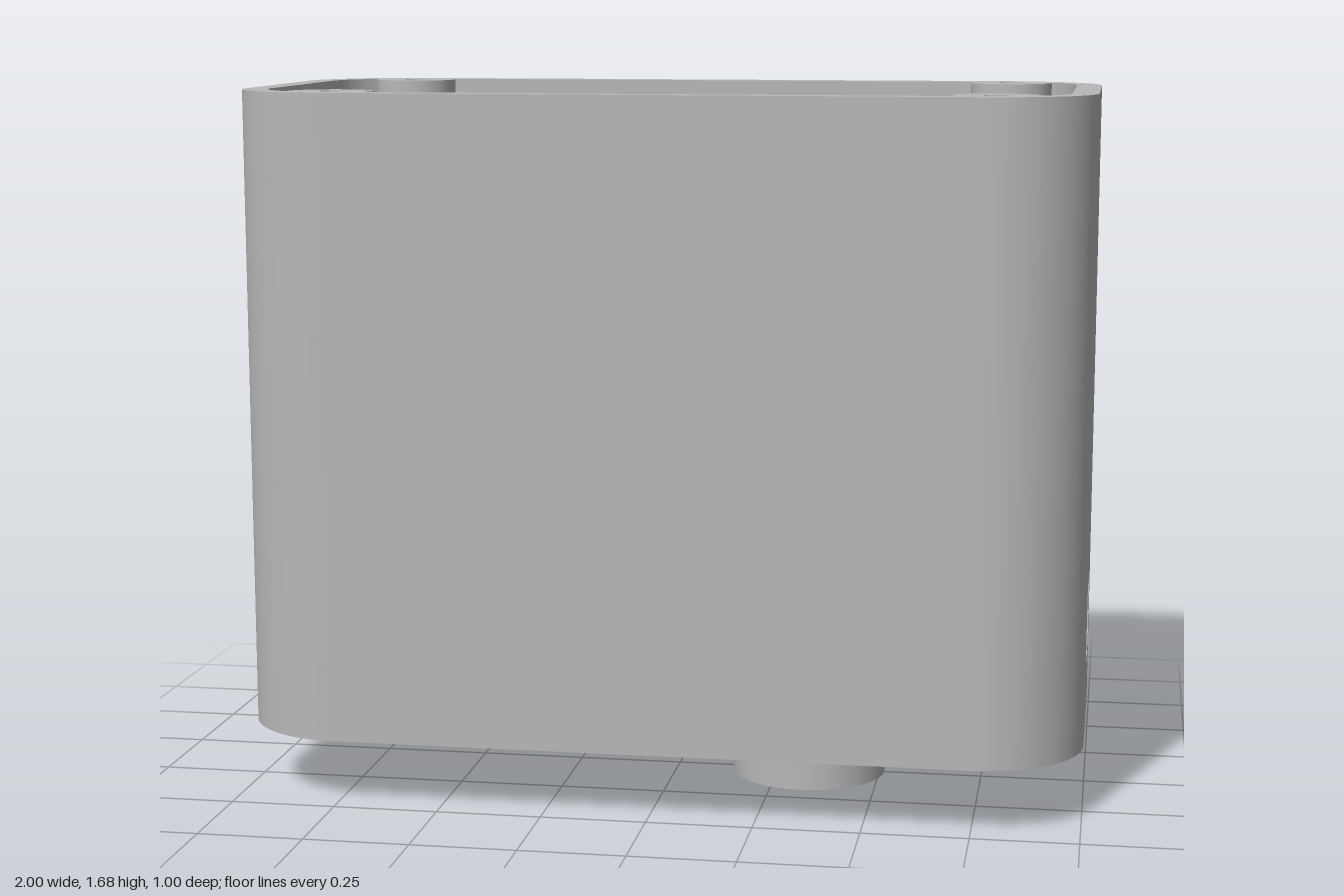
import * as THREE from 'three';
import { toCreasedNormals } from 'three/addons/utils/BufferGeometryUtils.js';

const BASE = 0.16, FLOOR = 0.22, TOP = 1.68;   // heights of underside, floor and rim
const R = 0.25, WALL = 0.06;

export function createModel() {
  const model = new THREE.Group();
  const grey = new THREE.MeshStandardMaterial({ color: 0xb8b8b8 });
  grey.name = 'grey plastic';

  function add(name, geometry) {
    const mesh = new THREE.Mesh(toCreasedNormals(geometry, 0.5), grey);
    mesh.name = name;
    model.add(mesh);
    return mesh;
  }

  // Extrude a plan shape upward between two heights
  function rise(shape, y0, y1) {
    const g = new THREE.ExtrudeGeometry(shape, { depth: y1 - y0, bevelEnabled: false, curveSegments: 20 });
    return g.rotateX(-Math.PI / 2).translate(0, y0, 0);
  }

  function roundedRect(path, w, h, r, cx = 0, cy = 0) {
    const x = w / 2 - r, y = h / 2 - r, q = Math.PI / 2;
    path.absarc(cx + x, cy + y, r, 0, q);
    path.absarc(cx - x, cy + y, r, q, 2 * q);
    path.absarc(cx - x, cy - y, r, 2 * q, 3 * q);
    path.absarc(cx + x, cy - y, r, 3 * q, 4 * q);
    path.closePath();
    return path;
  }

  function ring(outer, inner) {
    const s = new THREE.Shape().absarc(0, 0, outer, 0, Math.PI * 2);
    s.holes.push(new THREE.Path().absarc(0, 0, inner, 0, Math.PI * 2));
    return s;
  }

  // Bottom plate
  add('floor', rise(roundedRect(new THREE.Shape(), 2, 1, R), BASE, FLOOR));

  // Wall running round every side except the flat part of the left end
  const q = Math.PI / 2, cx = 1 - R, cz = 0.5 - R, ri = R - WALL;
  const wall = new THREE.Shape();
  const corners = [[cx, cz, 0], [-cx, cz, q], [-cx, -cz, 2 * q], [cx, -cz, 3 * q]];
  corners.forEach(([x, z, a]) => wall.absarc(x, z, R, a, a + q));
  corners.reverse().forEach(([x, z, a]) => wall.absarc(x, z, ri, a + q, a, true));
  wall.closePath();
  add('wall', rise(wall, FLOOR, TOP));

  // Flat end panel with the rounded port opening
  const panel = new THREE.Shape();
  panel.moveTo(-cz, FLOOR).lineTo(cz, FLOOR).lineTo(cz, TOP).lineTo(-cz, TOP).closePath();
  panel.holes.push(roundedRect(new THREE.Path(), 0.28, 0.19, 0.045, 0, 0.41));
  const panelGeo = new THREE.ExtrudeGeometry(panel, { depth: WALL, bevelEnabled: false, curveSegments: 10 });
  add('portPanel', panelGeo.rotateY(Math.PI / 2).translate(1 - WALL, 0, 0));

  // Raised pad on the floor
  add('floorPad', new THREE.BoxGeometry(1.315, 0.03, 0.66).translate(0.0125, FLOOR + 0.015, 0));

  // Lid screw bosses under the rim and short board posts on the floor
  for (const x of [-0.755, 0.775]) {
    for (const side of [-1, 1]) {
      add('screwBoss', rise(ring(0.1, 0.028), 1.45, TOP)).position.set(x, 0, side * 0.387);
      add('bossBase', new THREE.CylinderGeometry(0.1, 0.1, 0.02, 40)).position.set(x, 1.44, side * 0.387);
      add('boardPost', new THREE.CylinderGeometry(0.058, 0.058, 0.08, 32)).position.set(x, FLOOR + 0.04, side * 0.155);
    }
  }

  // Hollow spigot below the floor
  add('spigot', rise(ring(0.187, 0.115), 0, BASE)).position.x = 0.325;

  return model;
}
